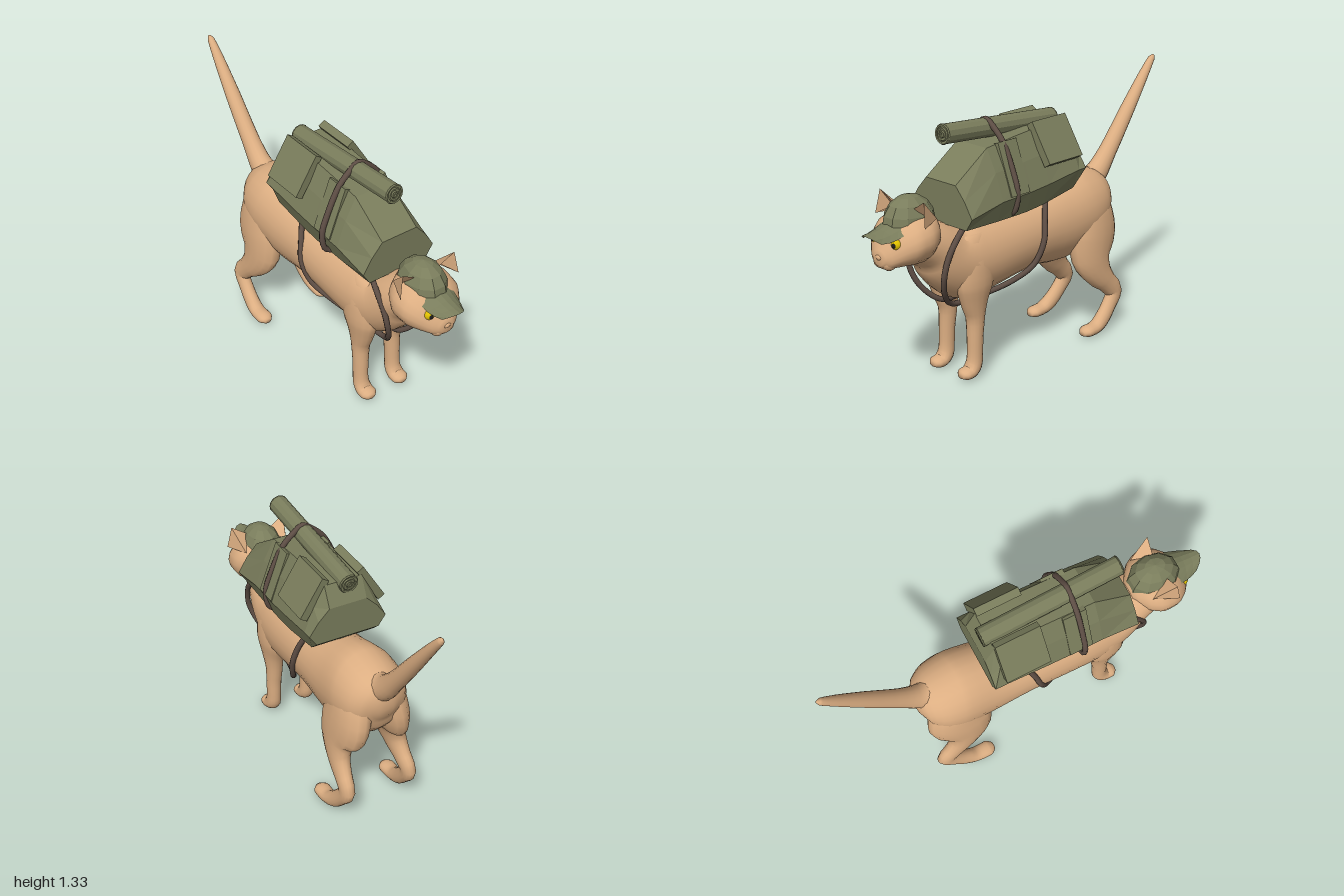
import * as THREE from 'three';

const mat = (color, extra = {}) => new THREE.MeshStandardMaterial({ color, ...extra });
const fur = mat(0xdcae82);
const furThin = mat(0xdcae82, { side: THREE.DoubleSide, flatShading: true });
const canvas = mat(0x7a7d5c, { flatShading: true });
const canvasThin = mat(0x7a7d5c, { side: THREE.DoubleSide, flatShading: true });
const leather = mat(0x5e4e45);
const yellow = mat(0xe0c000);
const black = mat(0x1a1a1a);

const v3 = (x, y, z) => new THREE.Vector3(x, y, z);

function add(parent, name, geometry, material, pos = [0, 0, 0]) {
  const mesh = new THREE.Mesh(geometry, material);
  mesh.name = name;
  mesh.position.set(...pos);
  parent.add(mesh);
  return mesh;
}

// Closes stacked rings of n points into a skin with fan caps at both ends
function skin(rings, n) {
  const pos = [], index = [];
  rings.forEach(r => r.forEach(p => pos.push(p.x, p.y, p.z)));
  for (let i = 0; i < rings.length - 1; i++)
    for (let j = 0; j < n; j++) {
      const a = i * n + j, b = i * n + (j + 1) % n;
      index.push(a, b, a + n, b, b + n, a + n);
    }
  [0, rings.length - 1].forEach((r, end) => {
    const c = rings[r].reduce((s, p) => s.add(p), v3(0, 0, 0)).divideScalar(n);
    const k = pos.length / 3;
    pos.push(c.x, c.y, c.z);
    for (let j = 0; j < n; j++) {
      const a = r * n + j, b = r * n + (j + 1) % n;
      if (end) index.push(k, a, b); else index.push(k, b, a);
    }
  });
  const g = new THREE.BufferGeometry();
  g.setAttribute('position', new THREE.Float32BufferAttribute(pos, 3));
  g.setIndex(index);
  g.computeVertexNormals();
  return g;
}

// Smooth elliptical loft; each section is [x, y, z, halfWidth, halfHeight].
// Rings stand square to the path, or to a fixed axis when one is given.
function loft(sections, { side = 1, n = 16, axis } = {}) {
  const path = new THREE.CatmullRomCurve3(sections.map(s => v3(s[0] * side, s[1], s[2])));
  const size = new THREE.CatmullRomCurve3(sections.map(s => v3(s[3], s[4], 0)));
  const X = v3(1, 0, 0), rings = [], steps = (sections.length - 1) * 3;
  for (let i = 0; i <= steps; i++) {
    const t = i / steps, c = path.getPoint(t), s = size.getPoint(t);
    const V = (axis ? axis.clone() : path.getTangent(t).setX(0).normalize()).cross(X);
    rings.push(Array.from({ length: n }, (_, j) => {
      const a = j / n * Math.PI * 2;
      return c.clone().addScaledVector(X, s.x * Math.cos(a)).addScaledVector(V, s.y * Math.sin(a));
    }));
  }
  return skin(rings, n);
}

const strap = (points, closed = false) =>
  new THREE.TubeGeometry(new THREE.CatmullRomCurve3(points.map(p => v3(...p)), closed), 60, 0.014, 8, closed);

function buildCat(cat) {
  cat.position.x = -.006;
  add(cat, 'torso', loft([
    [0, .76, .77, .09, .09], [0, .735, .69, .12, .105], [0, .685, .60, .135, .12],
    [0, .615, .52, .15, .16], [0, .58, .42, .162, .2], [0, .583, .3, .167, .196],
    [0, .595, .15, .168, .187], [0, .605, 0, .168, .185], [0, .612, -.2, .174, .216],
    [0, .642, -.35, .184, .223], [0, .662, -.46, .168, .182], [0, .665, -.53, .122, .13],
    [0, .66, -.565, .04, .04]], { n: 24 }), fur);

  add(cat, 'tail', loft([
    [0, .74, -.46, .08, .08], [0, .775, -.54, .058, .064], [0, .87, -.63, .046, .048],
    [0, 1.075, -.79, .038, .037], [0, 1.23, -.91, .027, .026],
    [0, 1.31, -.975, .017, .018], [0, 1.325, -.99, .006, .006]]), fur);

  add(cat, 'head', loft([
    [0, .79, .60, .05, .05], [0, .785, .66, .13, .11], [0, .773, .73, .164, .13],
    [0, .764, .80, .16, .118], [0, .742, .86, .12, .092],
    [0, .712, .90, .072, .06], [0, .703, .922, .034, .03]], { n: 20, axis: v3(0, 0, 1) }), fur);
  add(cat, 'nose', new THREE.SphereGeometry(.02, 10, 8), fur, [0, .712, .91]).scale.set(1.2, .8, 1);

  for (const side of [1, -1]) {
    const label = side > 0 ? 'left' : 'right';

    add(cat, label + 'FrontLeg', loft([
      [.07, .72, .43, .05, .08], [.09, .6, .425, .07, .118], [.103, .48, .427, .063, .11],
      [.098, .39, .427, .053, .078], [.095, .30, .42, .044, .049], [.097, .2, .425, .039, .041],
      [.098, .11, .428, .037, .04], [.098, .06, .437, .04, .042], [.098, .033, .465, .043, .033],
      [.098, .03, .50, .042, .028], [.098, .028, .523, .02, .014]], { side }), fur);

    add(cat, label + 'HindLeg', loft([
      [.06, .79, -.39, .06, .09], [.085, .66, -.39, .09, .145], [.11, .53, -.385, .085, .17],
      [.135, .41, -.363, .066, .13], [.153, .32, -.395, .05, .086], [.163, .25, -.453, .041, .058],
      [.17, .185, -.505, .036, .052], [.175, .12, -.462, .035, .042], [.181, .06, -.40, .037, .042],
      [.185, .034, -.345, .04, .032], [.185, .031, -.28, .042, .029], [.185, .028, -.248, .02, .014]], { side }), fur);

    // Cupped ear: two hollow front faces and two back faces
    const tip = [.147, .967, .775], inner = [.065, .915, .765], outer = [.167, .85, .79];
    const back = [.115, .86, .67], hollow = [.115, .88, .725];
    const ear = new THREE.BufferGeometry();
    ear.setAttribute('position', new THREE.Float32BufferAttribute(
      [tip, inner, hollow, tip, hollow, outer, tip, back, inner, tip, outer, back]
        .flatMap(p => [p[0] * side, p[1], p[2]]), 3));
    ear.computeVertexNormals();
    add(cat, label + 'Ear', ear, furThin);

    add(cat, label + 'Muzzle', new THREE.SphereGeometry(.035, 12, 8), fur, [side * .027, .682, .882]);
    add(cat, label + 'Eye', new THREE.SphereGeometry(.026, 14, 10), yellow, [side * .068, .776, .869]);
    add(cat, label + 'Pupil', new THREE.SphereGeometry(.013, 10, 8), black, [side * .071, .776, .886]);
  }
}

function buildCap(cap) {
  cap.position.x = -.006;
  const dome = new THREE.SphereGeometry(1, 10, 4, 0, Math.PI * 2, 0, Math.PI / 2);
  dome.scale(.107, .138, .138);
  add(cap, 'capDome', dome, canvasThin, [0, .828, .735]);

  // Visor sheet drooping toward its sides and tip
  const visor = new THREE.PlaneGeometry(2, 1, 6, 4), p = visor.attributes.position;
  for (let i = 0; i < p.count; i++) {
    const u = p.getX(i), v = p.getY(i) + .5;
    p.setXYZ(i, .095 * u * (1 - .35 * v * v), .87 - .036 * u * u - .08 * v + .042 * v * v, .81 + .188 * v * (1 - .25 * u * u));
  }
  visor.computeVertexNormals();
  add(cap, 'capVisor', visor, canvasThin);
}

function buildPack(pack) {
  pack.position.x = .008;
  // Half section as [x, height fraction], mirrored into a full ring
  const half = [[.165, 0], [.203, .3], [.155, .68], [.098, 1]];
  const ring = [...half, ...half.map(([x, f]) => [-x, f]).reverse()];
  const stations = [[.55, .785, .985], [.35, .78, 1.12], [.16, .78, 1.14],
    [.04, .79, 1.15], [-.17, .825, 1.15], [-.22, .87, 1.05]];
  const rings = stations.map(([z, lo, hi]) => ring.map(([x, f]) => v3(x, lo + f * (hi - lo), z)));
  add(pack, 'packBody', skin(rings.reverse(), ring.length), canvas);

  for (const s of [1, -1]) {
    add(pack, 'rearPocket', new THREE.BoxGeometry(.04, .22, .23), canvas, [s * .149, 1.086, -.055]).rotation.z = s * .56;
    add(pack, 'frontPocket', new THREE.BoxGeometry(.03, .26, .12), canvas, [s * .147, 1.01, .235]).rotation.z = s * .36;
  }

  // Bedroll with coiled ends
  const roll = new THREE.Group();
  roll.name = 'bedroll';
  roll.position.set(-.014, 1.17, .16);
  roll.rotation.x = Math.PI / 2 - .077;
  add(roll, 'rollBody', new THREE.CylinderGeometry(.048, .048, .72, 12), canvas);
  for (const y of [.36, -.36])
    for (const r of [.043, .027, .011])
      add(roll, 'rollCoil', new THREE.TorusGeometry(r, .006, 5, 16), canvas, [0, y, 0]).rotation.x = Math.PI / 2;
  pack.add(roll);
}

function buildStraps(straps) {
  const side = [[.055, 1.185, .25], [.11, 1.13, .25], [.175, 1.0, .25], [.205, .9, .25], [.175, .8, .25]];
  add(straps, 'packStrap', strap([[0, 1.22, .25], ...side,
    ...side.map(([x, y, z]) => [-x, y, z]).reverse()], true), leather);

  // Harness from shoulder, down the chest, under the belly and up the flank
  const path = [[.115, .79, .5], [.136, .735, .58], [.132, .66, .625], [.12, .57, .642], [.086, .47, .61],
    [.04, .385, .52], [.05, .38, .35], [.1, .42, .17], [.15, .49, .08], [.174, .6, .035], [.155, .70, .01], [.12, .80, -.03]];
  for (const s of [1, -1])
    add(straps, s > 0 ? 'leftHarness' : 'rightHarness', strap(path.map(([x, y, z]) => [x * s, y, z])), leather);
}

export function createModel() {
  const model = new THREE.Group();
  model.name = 'catWithBackpack';
  const parts = { cat: buildCat, cap: buildCap, backpack: buildPack, straps: buildStraps };
  for (const [name, build] of Object.entries(parts)) {
    const group = new THREE.Group();
    group.name = name;
    build(group);
    model.add(group);
  }
  return model;
}
